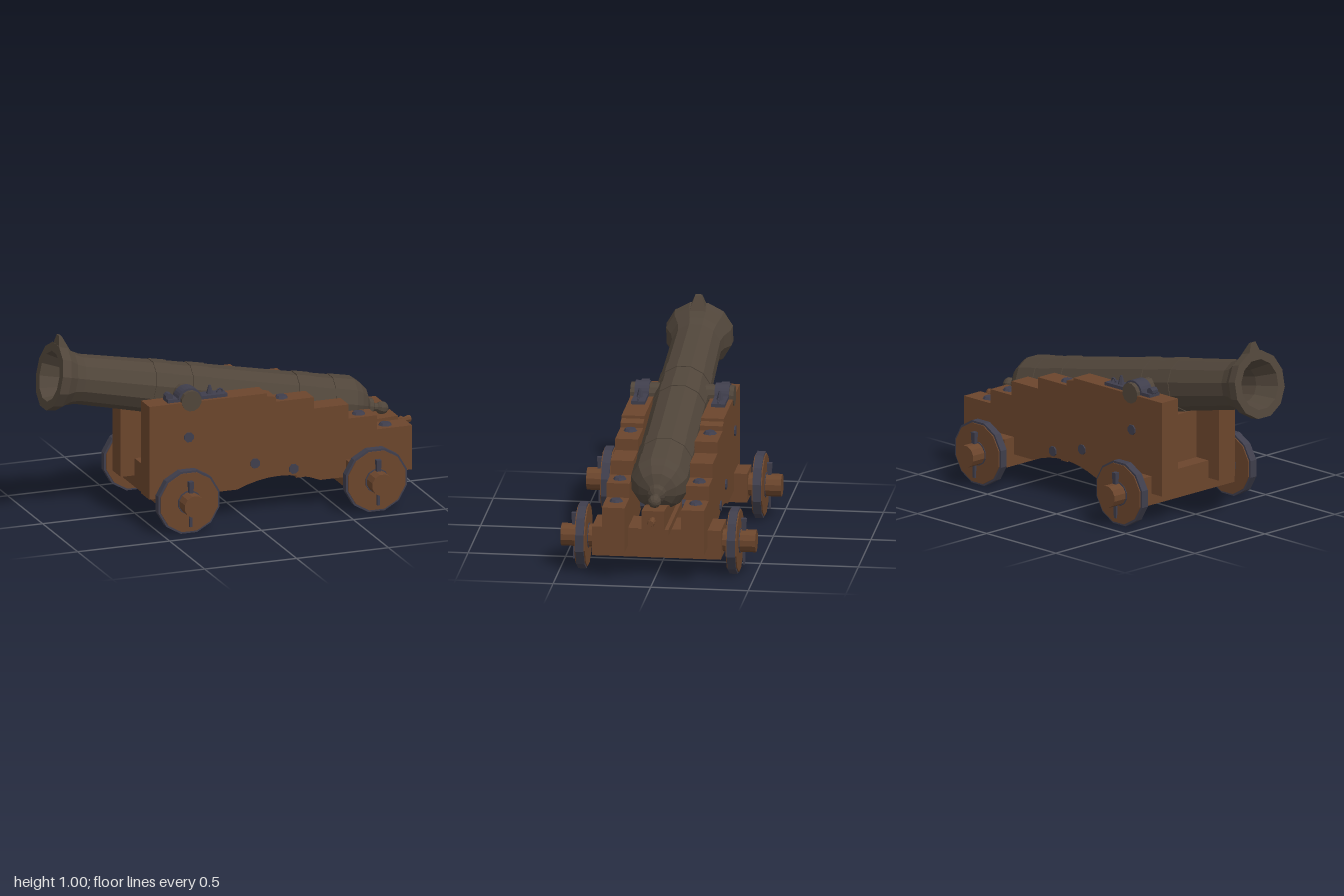
import * as THREE from 'three';

const mat = (color) => new THREE.MeshStandardMaterial({ color, flatShading: true, side: THREE.DoubleSide });

export function createModel() {
  const wood = mat(0x6b452c), iron = mat(0x3f3e4c), bronze = mat(0x50453a);
  const root = new THREE.Group();

  const add = (parent, name, geo, material, x = 0, y = 0, z = 0) => {
    const m = new THREE.Mesh(geo, material);
    m.name = name;
    m.position.set(x, y, z);
    parent.add(m);
    return m;
  };
  // box given by its limits
  const block = (name, x0, x1, y0, y1, z0, z1, material = wood) =>
    add(root, name, new THREE.BoxGeometry(x1 - x0, y1 - y0, z1 - z0), material,
      (x0 + x1) / 2, (y0 + y1) / 2, (z0 + z1) / 2);
  // cylinder lying along z, with flats facing up and sideways
  const zCyl = (r, len, sides) =>
    new THREE.CylinderGeometry(r, r, len, sides).rotateX(Math.PI / 2).rotateZ(Math.PI / sides);
  // box whose top is scaled in x and z
  const taperBox = (w, h, d, sx, sz) => {
    const g = new THREE.BoxGeometry(w, h, d), p = g.attributes.position;
    for (let i = 0; i < p.count; i++)
      if (p.getY(i) > 0) p.setXYZ(i, p.getX(i) * sx, p.getY(i), p.getZ(i) * sz);
    return g;
  };

  // Barrel: local y runs from muzzle to breech, local -x is up
  const barrel = new THREE.Group();
  barrel.name = 'barrel';
  barrel.position.set(-0.963, 0.787, 0);
  barrel.rotation.z = -(Math.PI / 2 + 0.204);
  root.add(barrel);
  const profile = [
    [0, 0.45], [0.085, 0.45], [0.09, 0.12], [0.13, 0], [0.176, 0], [0.172, 0.05], [0.14, 0.1], [0.128, 0.15],
    [0.135, 0.535], [0.139, 0.535], [0.14, 0.628], [0.136, 0.628],
    [0.137, 0.74], [0.141, 0.74], [0.142, 0.84], [0.138, 0.84],
    [0.141, 1.33], [0.146, 1.33], [0.146, 1.425], [0.143, 1.425],
    [0.144, 1.53], [0.148, 1.53], [0.149, 1.65], [0.13, 1.69], [0.1, 1.73], [0.052, 1.757],
    [0.045, 1.765], [0.045, 1.785], [0.02, 1.8], [0.02, 1.84], [0, 1.84],
  ].map(([r, s]) => new THREE.Vector2(r, s));
  add(barrel, 'barrelTube', new THREE.LatheGeometry(profile, 12, Math.PI / 12), bronze);
  add(barrel, 'breechKnob', new THREE.SphereGeometry(0.034, 10, 8), bronze, 0, 1.846, 0);
  const sight = taperBox(0.07, 0.07, 0.09, 0.2, 0.38);
  sight.translate(-0.028, 0, 0);
  const sp = sight.attributes.position;
  for (let i = 0; i < sp.count; i++) if (sp.getY(i) > 0) sp.setX(i, sp.getX(i) - 0.028);
  sight.rotateZ(Math.PI / 2);
  add(barrel, 'muzzleSight', sight, bronze, -0.184, 0.065, 0);
  add(root, 'trunnions', zCyl(0.054, 0.53, 12), bronze, -0.29, 0.655, 0);

  // Stepped cheeks with an arched underside
  const cheek = new THREE.Shape();
  cheek.moveTo(-0.52, 0.155);
  cheek.lineTo(-0.04, 0.155);
  cheek.quadraticCurveTo(0.185, 0.25, 0.41, 0.155);
  [[0.91, 0.155], [0.91, 0.39], [0.72, 0.39], [0.72, 0.465], [0.565, 0.465], [0.565, 0.54], [0.375, 0.54],
    [0.375, 0.6], [0.17, 0.6], [0.17, 0.625], [0.12, 0.635], [0.12, 0.65], [-0.52, 0.65]]
    .forEach(([x, y]) => cheek.lineTo(x, y));
  const cheekGeo = new THREE.ExtrudeGeometry(cheek, { depth: 0.117, bevelEnabled: false, curveSegments: 8 });

  // Half ring of the trunnion clamp
  const clamp = new THREE.Shape();
  clamp.absarc(0, 0, 0.066, 0, Math.PI, false);
  clamp.absarc(0, 0, 0.05, Math.PI, 0, true);
  const clampGeo = new THREE.ExtrudeGeometry(clamp, { depth: 0.074, bevelEnabled: false, curveSegments: 7 });

  for (const s of [1, -1]) {
    add(root, 'cheek', cheekGeo, wood, 0, 0, s > 0 ? 0.145 : -0.262);

    // Trunnion clamp with strap, hinge and key
    const zc = s * 0.205;
    add(root, 'clampRing', clampGeo, iron, -0.29, 0.652, zc - 0.037);
    block('clampStrapRear', -0.235, -0.085, 0.648, 0.667, zc - 0.035, zc + 0.035, iron);
    block('clampStrapFront', -0.41, -0.345, 0.648, 0.667, zc - 0.035, zc + 0.035, iron);
    add(root, 'clampHinge', zCyl(0.02, 0.04, 8), iron, -0.395, 0.677, zc);
    add(root, 'clampKey', new THREE.CylinderGeometry(0.006, 0.02, 0.05, 6), iron, -0.17, 0.687, zc);
    add(root, 'clampKeyLoop', new THREE.TorusGeometry(0.015, 0.005, 5, 8), iron, -0.115, 0.672, zc);

    // Bolt heads on the steps and on the outer faces
    for (const [x, y] of [[0.22, 0.6], [0.64, 0.465], [0.785, 0.39]])
      add(root, 'stepBolt', new THREE.CylinderGeometry(0.026, 0.036, 0.014, 8), iron, x, y + 0.006, s * 0.204);
    for (const [x, y] of [[-0.305, 0.465], [0.055, 0.285], [0.265, 0.232]])
      add(root, 'sideBolt', zCyl(0.027, 0.01, 8), iron, x, y, s * 0.264);
  }

  // Tie rods between the cheeks
  for (const [x, y] of [[0.055, 0.285], [0.265, 0.232]])
    add(root, 'tieRod', zCyl(0.025, 0.4, 8), iron, x, y, 0);

  // Axles, wheels and linchpins
  for (const [x, x0, x1] of [[-0.36, -0.445, -0.275], [0.66, 0.55, 0.77]]) {
    block('axleBeam', x0, x1, 0.095, 0.247, -0.33, 0.33);
    add(root, 'axleArms', zCyl(0.058, 0.998, 12), wood, x, 0.169, 0);
    for (const s of [1, -1]) {
      const wheel = new THREE.Group();
      wheel.name = 'wheel';
      wheel.position.set(x, 0.169, s * 0.388);
      root.add(wheel);
      add(wheel, 'wheelDisc', zCyl(0.16, 0.054, 12), wood);
      add(wheel, 'wheelTyre', zCyl(0.171, 0.042, 12), iron);
      add(wheel, 'wheelWasher', zCyl(0.064, 0.062, 12), iron);
      add(wheel, 'linchpin', taperBox(0.014, 0.2, 0.01, 1.6, 1.8), iron, 0, -0.025, s * 0.047);
      add(wheel, 'linchpinHead', taperBox(0.022, 0.06, 0.02, 1.2, 1.35), iron, 0, 0.087, s * 0.047);
    }
  }

  // Front transom, bed and its cleat
  block('transom', -0.36, -0.25, 0.24, 0.5, -0.146, 0.146);
  block('bed', 0.35, 0.9, 0.247, 0.28, -0.078, 0.078);
  block('bedCleat', 0.35, 0.395, 0.118, 0.25, -0.078, 0.078);

  // Elevating wedge and its turned handle
  const wedge = new THREE.Shape([[0.42, 0.28], [0.91, 0.28], [0.91, 0.38], [0.8, 0.375], [0.42, 0.3]]
    .map(([x, y]) => new THREE.Vector2(x, y)));
  add(root, 'wedge', new THREE.ExtrudeGeometry(wedge, { depth: 0.116, bevelEnabled: false }), wood, 0, 0, -0.058);
  const handle = [[0.012, 0], [0.012, 0.025], [0.02, 0.04], [0.012, 0.055], [0.02, 0.08], [0.016, 0.092], [0, 0.092]]
    .map(([r, y]) => new THREE.Vector2(r, y));
  add(root, 'wedgeHandle', new THREE.LatheGeometry(handle, 8).rotateZ(-Math.PI / 2), wood, 0.908, 0.338, 0);

  return root;
}
